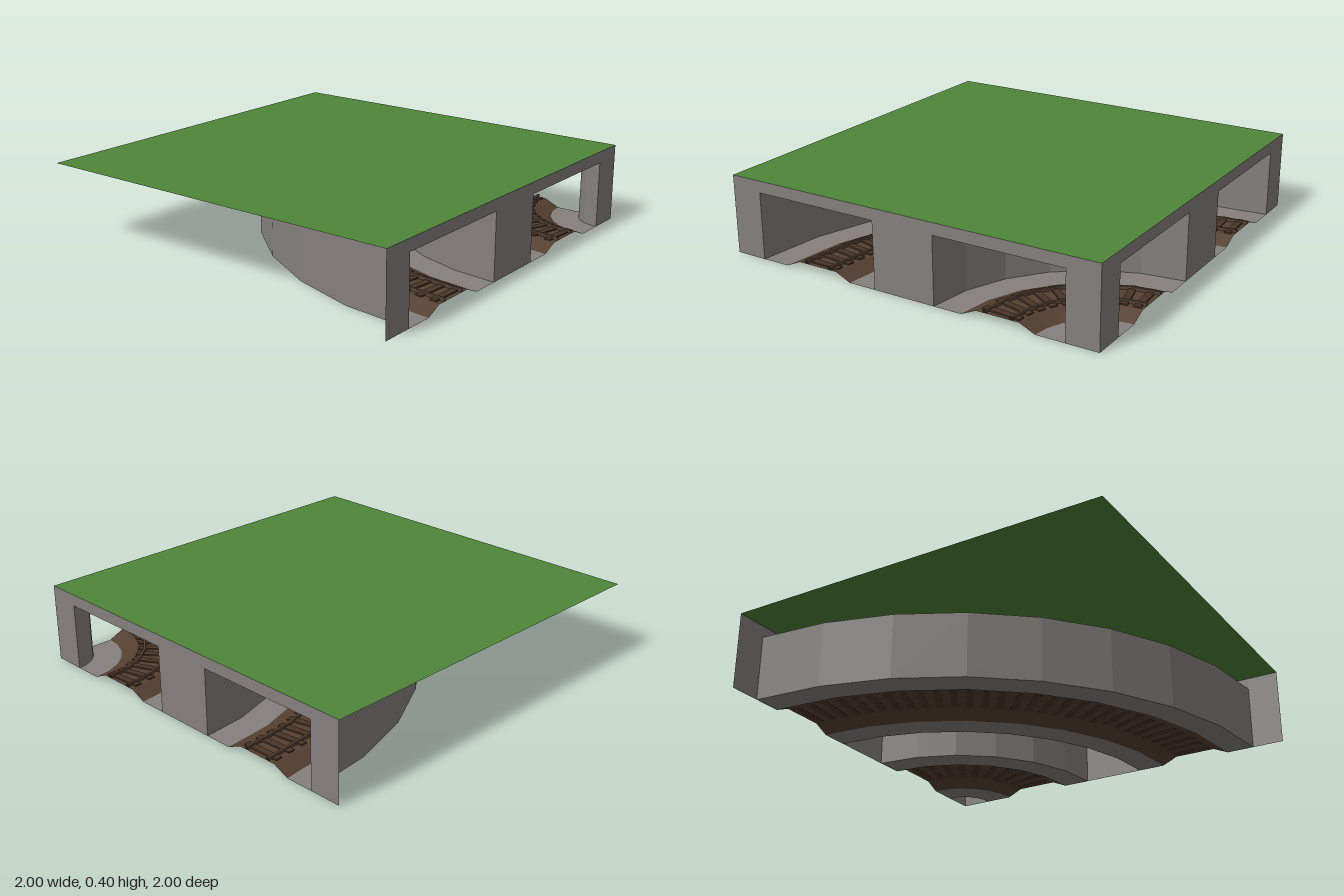
import * as THREE from 'three';

const HEIGHT = 0.4;
const CEILING = 0.34;
const HALF_BORE = 0.335;

function material(color) {
  return new THREE.MeshStandardMaterial({ color, flatShading: true, side: THREE.DoubleSide });
}

const stone = material(0x85807e);
const grass = material(0x4f8538);
const ballast = material(0x554030);
const timber = material(0x4a3526);
const steel = material(0x594636);

function mesh(name, geometry, mat) {
  const m = new THREE.Mesh(geometry, mat);
  m.name = name;
  return m;
}

// Sweeps a [radius, y] profile through a quarter turn around the corner axis
function sweep(name, profile, segments, mat) {
  const points = profile.map(([r, y]) => new THREE.Vector2(r, y));
  return mesh(name, new THREE.LatheGeometry(points, segments, Math.PI, Math.PI / 2), mat);
}

// One curved tunnel with its floor ledges, ballast bed and track
function createTunnel(name, radius, segments, sleeperCount) {
  const tunnel = new THREE.Group();
  tunnel.name = name;
  const at = (list) => list.map(([d, y]) => [radius + d, y]);

  tunnel.add(sweep('tunnelShell', at([
    [-0.19, 0], [-HALF_BORE, 0], [-HALF_BORE, CEILING],
    [HALF_BORE, CEILING], [HALF_BORE, 0], [0.19, 0],
  ]), segments, stone));

  tunnel.add(sweep('ballastBed', at([
    [-0.19, 0], [-0.11, 0.036], [0.11, 0.036], [0.19, 0],
  ]), segments, ballast));

  for (const side of [-1, 1]) {
    const d = side * 0.068;
    tunnel.add(sweep('rail', at([
      [d - 0.006, 0.036], [d - 0.006, 0.052], [d + 0.006, 0.052], [d + 0.006, 0.036],
    ]), segments, steel));
  }

  // Sleepers spaced evenly along the bend, kept on the chords of the bed
  const sleeper = new THREE.BoxGeometry(0.2, 0.008, 0.035);
  const step = Math.PI / 2 / segments;
  for (let i = 0; i < sleeperCount; i++) {
    const a = ((i + 0.5) / sleeperCount) * Math.PI / 2;
    const r = radius * Math.cos(step / 2) / Math.cos((a % step) - step / 2);
    const s = mesh('sleeper', sleeper, timber);
    s.position.set(-r * Math.cos(a), 0.039, -r * Math.sin(a));
    s.rotation.y = -a;
    tunnel.add(s);
  }
  tunnel.position.set(1, 0, 1);
  return tunnel;
}

// Flat portal wall with two square openings reaching the ground
function createPortalGeometry() {
  const wall = new THREE.Shape();
  wall.moveTo(-1, 0);
  for (const c of [-0.5, 0.5]) {
    wall.lineTo(c - HALF_BORE, 0);
    wall.lineTo(c - HALF_BORE, CEILING);
    wall.lineTo(c + HALF_BORE, CEILING);
    wall.lineTo(c + HALF_BORE, 0);
  }
  wall.lineTo(1, 0);
  wall.lineTo(1, HEIGHT);
  wall.lineTo(-1, HEIGHT);
  wall.closePath();
  return new THREE.ShapeGeometry(wall);
}

export function createModel() {
  const model = new THREE.Group();
  model.name = 'curvedTunnelTile';

  // Grass sheet on top
  const top = mesh('grassTop', new THREE.PlaneGeometry(2, 2), grass);
  top.rotation.x = -Math.PI / 2;
  top.position.y = HEIGHT;
  model.add(top);

  // Portal walls on the two track ends
  const portal = createPortalGeometry();
  const front = mesh('frontPortal', portal, stone);
  front.position.z = 1;
  const side = mesh('sidePortal', portal, stone);
  side.rotation.y = Math.PI / 2;
  side.position.x = 1;
  model.add(front, side);

  // Concentric bends
  model.add(createTunnel('innerTunnel', 0.5, 6, 10));
  model.add(createTunnel('outerTunnel', 1.5, 8, 30));
  return model;
}
